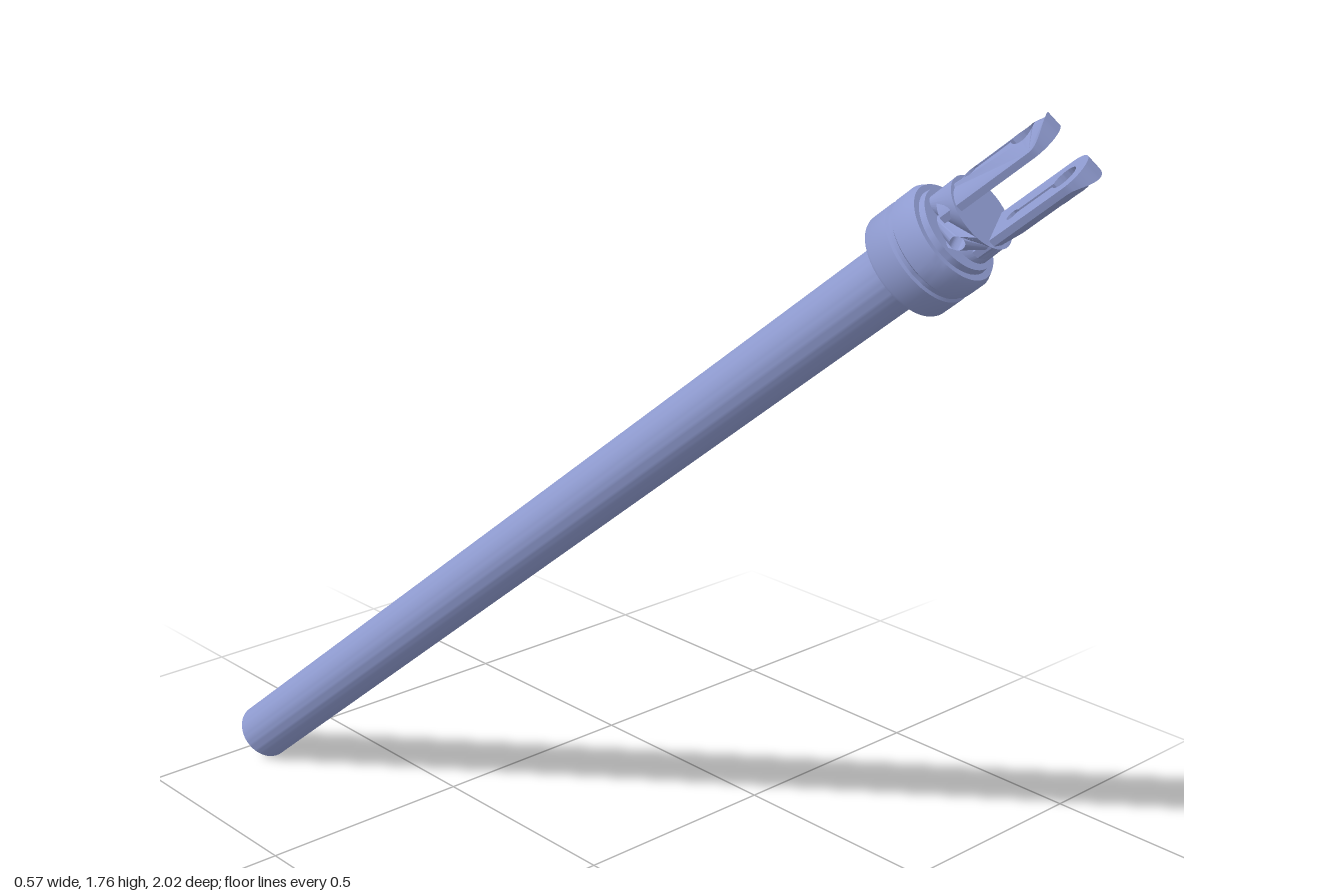
import * as THREE from 'three';
import { toCreasedNormals } from 'three/addons/utils/BufferGeometryUtils.js';

const material = new THREE.MeshStandardMaterial({ color: 0x8f9bd0 });

function part(name, geometry) {
  const mesh = new THREE.Mesh(toCreasedNormals(geometry, 0.6), material);
  mesh.name = name;
  return mesh;
}

// Extrudes a shape along z, then pushes its front face onto a cylinder around y.
// The back face stays flat at z = inner, or mirrors the front if inner is null.
function roundedExtrude(shape, radius, inner = null) {
  const geometry = new THREE.ExtrudeGeometry(shape, { depth: 1, bevelEnabled: false, curveSegments: 20 });
  const pos = geometry.attributes.position;
  for (let i = 0; i < pos.count; i++) {
    const x = pos.getX(i);
    const outer = Math.sqrt(Math.max(0, radius * radius - x * x));
    pos.setZ(i, pos.getZ(i) > 0.5 ? outer : inner ?? -outer);
  }
  return geometry;
}

// Outline points along a horizontal edge, spaced evenly in angle
function edge(halfWidth, y, dir, n = 20) {
  return Array.from({ length: n + 1 }, (_, i) =>
    new THREE.Vector2(-dir * halfWidth * Math.cos((i / n) * Math.PI), y));
}

// Fork prong: round tip, pin hole and a narrow slot ending in a small hole
function prongGeometry() {
  const w = 0.052, tip = 2.538, rise = 0.045;
  const points = edge(w, 2.33, 1, 12);
  for (let i = 0; i <= 20; i++) {
    const a = (i / 20) * Math.PI;
    points.push(new THREE.Vector2(w * Math.cos(a), tip + rise * Math.sin(a)));
  }
  const shape = new THREE.Shape(points);

  const big = 0.026, small = 0.013, half = 0.006;
  const a = Math.asin(half / big), b = Math.asin(half / small);
  const keyhole = new THREE.Path();
  keyhole.absarc(0, 2.53, big, -Math.PI / 2 + a, 1.5 * Math.PI - a, false);
  keyhole.absarc(0, 2.41, small, Math.PI / 2 + b, 2.5 * Math.PI - b, false);
  keyhole.closePath();
  shape.holes.push(keyhole);
  return roundedExtrude(shape, 0.072, 0.036);
}

// Neck: short cylinder with a cross-drilled hole
function neckGeometry() {
  const r = 0.077;
  const shape = new THREE.Shape([...edge(r, 2.29, 1), ...edge(r, 2.37, -1)]);
  const hole = new THREE.Path();
  hole.absarc(0, 2.335, 0.014, 0, Math.PI * 2, true);
  shape.holes.push(hole);
  return roundedExtrude(shape, r).rotateY(Math.PI / 2);
}

export function createModel() {
  const model = new THREE.Group();
  model.name = 'rodWithForkEnd';

  // Long plain tube
  const tube = new THREE.CylinderGeometry(0.066, 0.066, 2.25, 64).translate(0, 1.125, 0);
  model.add(part('tube', tube));

  // Grooved collar, recessed underneath around the tube
  const profile = [
    [0.06, 2.225], [0.088, 2.225], [0.088, 2.19], [0.105, 2.185],
    [0.107, 2.19], [0.107, 2.238], [0.102, 2.242], [0.102, 2.25],
    [0.107, 2.254], [0.107, 2.29], [0.1, 2.303], [0.088, 2.303],
    [0.086, 2.315], [0, 2.315],
  ].map(([r, y]) => new THREE.Vector2(r, y));
  model.add(part('collar', new THREE.LatheGeometry(profile, 64)));

  model.add(part('neck', neckGeometry()));

  // Pair of fork prongs
  const fork = new THREE.Group();
  fork.name = 'fork';
  for (const angle of [0, Math.PI]) {
    const prong = part('prong', prongGeometry());
    prong.rotation.y = angle;
    fork.add(prong);
  }
  model.add(fork);

  // Lean the rod up and forward, with one prong facing up and back
  const axis = new THREE.Vector3(0.173, 0.641, 0.748).normalize();
  const side = new THREE.Vector3().crossVectors(axis, new THREE.Vector3(-0.49, 0.714, -0.497)).normalize();
  const face = new THREE.Vector3().crossVectors(side, axis);
  model.quaternion.setFromRotationMatrix(new THREE.Matrix4().makeBasis(side, axis, face));
  model.position.set(-0.22, 0.051, -0.956);

  const root = new THREE.Group();
  root.name = 'model';
  root.add(model);
  return root;
}
